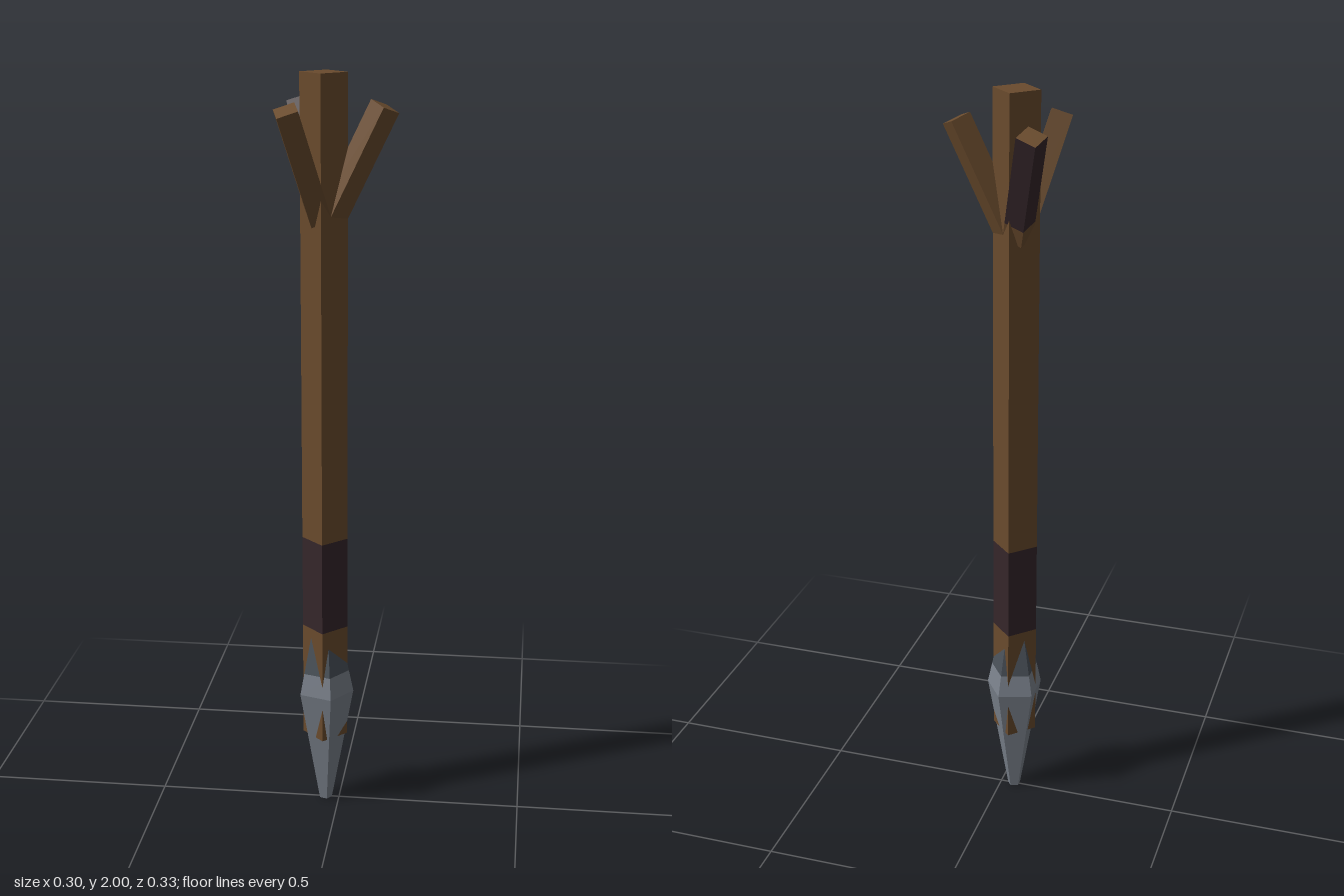
import * as THREE from 'three';

const material = (name, color) => {
  const m = new THREE.MeshStandardMaterial({ color, flatShading: true });
  m.name = name;
  return m;
};

export function createModel() {
  const wood = material('wood', 0x6a4b2d);
  const wrap = material('darkWrap', 0x35262a);
  const steel = material('steel', 0x7a818b);
  const darkSteel = material('darkSteel', 0x4a5159);

  const group = new THREE.Group();
  const spear = new THREE.Group();
  spear.name = 'spear';
  spear.position.x = -0.038;
  group.add(spear);

  // Faceted upright section from y0 (radius r0) to y1 (radius r1)
  function section(parent, name, sides, y0, r0, y1, r1, mat, open = false) {
    const geo = new THREE.CylinderGeometry(r1, r0, y1 - y0, sides, 1, open, Math.PI / 2);
    geo.translate(0, (y0 + y1) / 2, 0);
    const mesh = new THREE.Mesh(geo, mat);
    mesh.name = name;
    parent.add(mesh);
    return mesh;
  }

  // Square shaft, with a dark grip wrap set into it
  const R = 0.061;
  section(spear, 'lowerShaft', 4, 0.2, R, 0.52, R, wood);
  section(spear, 'gripWrap', 4, 0.52, R, 0.775, R, wrap, true);
  section(spear, 'upperShaft', 4, 0.775, R, 2, R, wood);

  // Five-sided spearhead: long point, shoulder and darker socket
  section(spear, 'point', 5, 0, 0.018, 0.33, 0.078, steel);
  section(spear, 'shoulder', 5, 0.33, 0.078, 0.39, 0.0655, steel, true);
  section(spear, 'socket', 5, 0.39, 0.0655, 0.51, 0.04, darkSteel);

  // Three slanted prongs around the butt end, the rear one dark-sided
  const r = 0.039, length = 0.314, foot = 0.05, tilt = 0.449;
  for (let i = 0; i < 3; i++) {
    const turn = new THREE.Group();
    turn.name = ['leftProng', 'rearProng', 'frontProng'][i];
    turn.rotation.y = (i * Math.PI * 2) / 3;
    const prong = new THREE.Group();
    prong.position.set(0.017, 1.635, 0);
    prong.rotation.z = -tilt;
    turn.add(prong);
    spear.add(turn);
    if (i === 1) {
      section(prong, 'prongFoot', 4, 0, r, foot, r, wood);
      section(prong, 'prongShaft', 4, foot, r, length, r, [wrap, wood, wood]);
    } else {
      section(prong, 'prongShaft', 4, 0, r, length, r, wood);
    }
  }
  return group;
}
